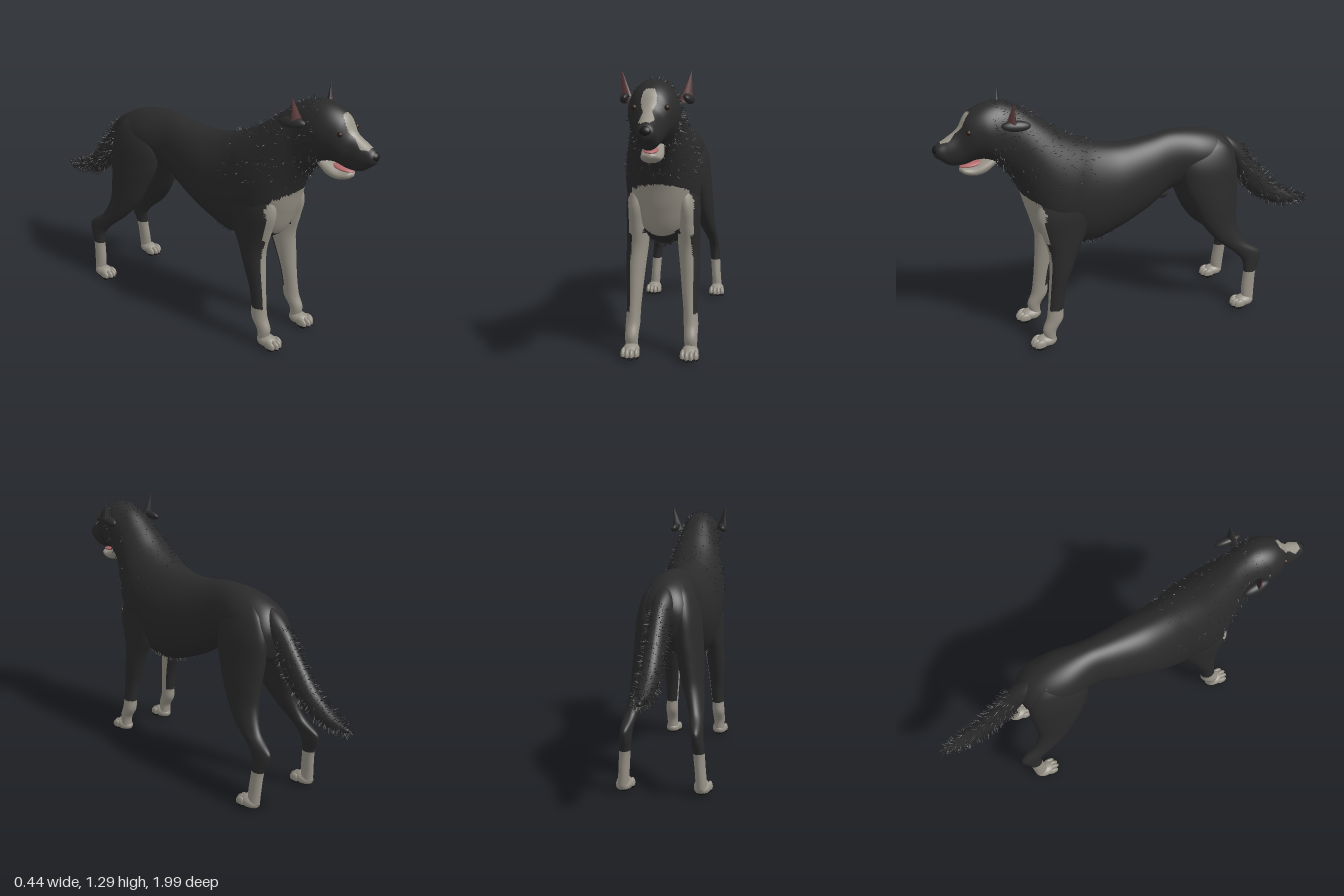
import * as THREE from 'three';

const mat = (name, color) => {
  const m = new THREE.MeshStandardMaterial({ color });
  m.name = name;
  return m;
};

export function createModel() {
  const dog = new THREE.Group();
  dog.name = 'dog';
  const black = mat('black coat', 0x2a2a2b);
  const white = mat('grey white coat', 0x979287);
  const pad = mat('pad black', 0x1b1a1a);
  const red = mat('inner ear', 0x5c3b3b);
  const pink = mat('tongue pink', 0xb26a6c);
  const brown = mat('eye brown', 0x2e1d14);
  const strand = mat('fur strands', 0x242425);
  strand.side = THREE.DoubleSide;

  const add = (name, geo, material, parent = dog) => {
    const mesh = new THREE.Mesh(geo, material);
    mesh.name = name;
    parent.add(mesh);
    return mesh;
  };

  // Smooth skin over cross-sections [upperZ, upperY, lowerZ, lowerY, halfWidth, centreX]
  function loft(sections, steps, sides, mirror = 1) {
    const a = new THREE.CatmullRomCurve3(sections.map(s => new THREE.Vector3((s[5] || 0) * mirror, s[1], s[0])));
    const b = new THREE.CatmullRomCurve3(sections.map(s => new THREE.Vector3(s[4], s[3], s[2])));
    const pos = [], idx = [];
    for (let i = 0; i <= steps; i++) {
      const p = a.getPoint(i / steps), q = b.getPoint(i / steps);
      const cy = (p.y + q.y) / 2, cz = (p.z + q.z) / 2;
      for (let j = 0; j < sides; j++) {
        const t = j / sides * Math.PI * 2, c = Math.cos(t);
        pos.push(p.x + q.x * Math.sin(t), cy + (p.y - cy) * c, cz + (p.z - cz) * c);
      }
    }
    for (let i = 0; i < steps; i++) for (let j = 0; j < sides; j++) {
      const k = (j + 1) % sides, r = i * sides, n = r + sides;
      idx.push(r + j, r + k, n + j, r + k, n + k, n + j);
    }
    // Close both ends with a fan
    for (const end of [0, steps]) {
      const s = sections[end ? sections.length - 1 : 0], c = pos.length / 3;
      pos.push((s[5] || 0) * mirror, (s[1] + s[3]) / 2, (s[0] + s[2]) / 2);
      for (let j = 0; j < sides; j++) {
        const u = end * sides + j, v = end * sides + (j + 1) % sides;
        if (end) idx.push(c, u, v); else idx.push(c, v, u);
      }
    }
    const geo = new THREE.BufferGeometry();
    geo.setAttribute('position', new THREE.Float32BufferAttribute(pos, 3));
    geo.setIndex(idx);
    geo.computeVertexNormals();
    return geo;
  }

  // Sort faces into two colour groups: those passing the rule come second
  function paint(geo, rule) {
    const P = geo.attributes.position, N = geo.attributes.normal, src = geo.index.array;
    const lists = [[], []], c = new THREE.Vector3(), n = new THREE.Vector3(), v = new THREE.Vector3();
    for (let f = 0; f < src.length; f += 3) {
      c.set(0, 0, 0); n.set(0, 0, 0);
      for (let k = 0; k < 3; k++) {
        c.addScaledVector(v.fromBufferAttribute(P, src[f + k]), 1 / 3);
        n.addScaledVector(v.fromBufferAttribute(N, src[f + k]), 1 / 3);
      }
      lists[rule(c, n) ? 1 : 0].push(src[f], src[f + 1], src[f + 2]);
    }
    geo.setIndex([...lists[0], ...lists[1]]);
    geo.clearGroups();
    geo.addGroup(0, lists[0].length, 0);
    geo.addGroup(lists[0].length, lists[1].length, 1);
    return geo;
  }

  const blob = (p, s, tilt = 0) => new THREE.SphereGeometry(1, 24, 16).scale(...s).rotateX(tilt).translate(...p);

  let seed = 7;
  const rand = () => (seed = (seed * 16807) % 2147483647) / 2147483647;

  // Short strands growing out of a surface, swept backwards
  function fur(name, geo, count, length, where = () => true) {
    const P = geo.attributes.position, N = geo.attributes.normal, pos = [];
    const p = new THREE.Vector3(), n = new THREE.Vector3(), w = new THREE.Vector3();
    for (let tries = 0; pos.length < count * 9 && tries < count * 40; tries++) {
      const i = Math.floor(rand() * P.count);
      p.fromBufferAttribute(P, i); n.fromBufferAttribute(N, i);
      if (!where(p)) continue;
      w.set(rand() - 0.5, rand() - 0.5, rand() - 0.5).setLength(0.002);
      n.add(new THREE.Vector3(rand() - 0.5, rand() - 0.7, -rand() * 0.9)).setLength(length * (0.5 + rand() * 0.5));
      pos.push(p.x - w.x, p.y - w.y, p.z - w.z, p.x + w.x, p.y + w.y, p.z + w.z, p.x + n.x, p.y + n.y, p.z + n.z);
    }
    const g = new THREE.BufferGeometry();
    g.setAttribute('position', new THREE.Float32BufferAttribute(pos, 3));
    g.computeVertexNormals();
    add(name, g, strand);
  }

  // Head, neck and torso in one skin, with a chest bib and a muzzle blaze
  const bib = c => c.y > 0.53 && c.y < 0.8 - 2 * c.x * c.x && Math.abs(c.x) < 0.147
    && c.z > 0.515 + Math.max(0, c.y - 0.7) * 0.5;
  const blaze = (c, n) => c.z > 0.825 && c.z < 0.96 && c.y > 1.04 && n.y > 0.2
    && Math.abs(c.x + 0.004) < 0.026 + 0.006 * Math.sin(c.z * 90);
  const body = loft([
    [0.993, 1.06, 0.99, 1.03, 0.012], [0.982, 1.082, 0.97, 1.015, 0.034],
    [0.94, 1.107, 0.925, 0.983, 0.046], [0.88, 1.147, 0.865, 0.978, 0.057],
    [0.838, 1.21, 0.80, 0.995, 0.086], [0.77, 1.247, 0.745, 0.985, 0.106],
    [0.69, 1.256, 0.71, 0.955, 0.108], [0.60, 1.222, 0.665, 0.90, 0.11],
    [0.50, 1.15, 0.615, 0.80, 0.135], [0.40, 1.075, 0.58, 0.68, 0.16],
    [0.32, 1.03, 0.525, 0.56, 0.17], [0.25, 1.0, 0.42, 0.50, 0.16],
    [0.16, 0.975, 0.28, 0.48, 0.15], [0.08, 0.968, 0.13, 0.525, 0.138],
    [-0.03, 0.975, -0.03, 0.60, 0.115], [-0.15, 0.992, -0.15, 0.68, 0.1],
    [-0.30, 0.985, -0.28, 0.70, 0.122], [-0.40, 0.96, -0.40, 0.67, 0.12],
    [-0.47, 0.92, -0.48, 0.68, 0.1], [-0.51, 0.86, -0.51, 0.75, 0.06], [-0.52, 0.81, -0.52, 0.79, 0.01],
  ], 220, 88);
  add('body', paint(body, (c, n) => bib(c) || blaze(c, n)), [black, white]);
  fur('neckFur', body, 900, 0.022, p => p.z > 0.25 && p.z < 0.74 && p.y > 0.83);
  fur('bellyFur', body, 250, 0.025, p => p.y < 0.53 && p.z < 0.45);
  add('sheath', blob([0, 0.665, -0.1], [0.022, 0.026, 0.06], -0.4), black);

  // Muzzle: nose, lower jaw, tongue
  add('nose', blob([0, 1.06, 0.972], [0.027, 0.024, 0.026]), pad);
  add('lowerJaw', loft([
    [0.885, 0.958, 0.885, 0.945, 0.008], [0.875, 0.965, 0.865, 0.93, 0.032],
    [0.83, 0.965, 0.82, 0.918, 0.044], [0.78, 0.985, 0.77, 0.926, 0.048], [0.72, 1.01, 0.72, 0.96, 0.04],
  ], 24, 32), white);
  add('tongue', blob([0, 0.972, 0.832], [0.031, 0.011, 0.052], 0.1), pink);

  // Tail with a bushy fringe
  const tail = loft([
    [-0.42, 0.945, -0.44, 0.84, 0.03, 0], [-0.5, 0.91, -0.505, 0.79, 0.047, 0.004],
    [-0.57, 0.855, -0.54, 0.71, 0.045, 0.01], [-0.65, 0.755, -0.605, 0.61, 0.044, 0.014],
    [-0.77, 0.617, -0.73, 0.515, 0.042, 0.018], [-0.88, 0.545, -0.86, 0.482, 0.034, 0.02],
    [-0.965, 0.508, -0.96, 0.49, 0.01, 0.02],
  ], 50, 28);
  add('tail', tail, black);
  fur('tailFur', tail, 1500, 0.034, p => p.z < -0.55);

  for (const [side, s] of [['left', 1], ['right', -1]]) {
    // Eye and ear: erect tip with a reddish front, folded flap behind
    add(side + 'Eye', blob([s * 0.066, 1.145, 0.842], [0.012, 0.012, 0.012]), brown);
    const ear = new THREE.Group();
    ear.name = side + 'Ear';
    dog.add(ear);
    const tip = new THREE.ConeGeometry(0.034, 0.13, 24, 6);
    const P = tip.attributes.position;
    for (let i = 0; i < P.count; i++) P.setX(i, P.getX(i) + s * (P.getY(i) + 0.065) * 0.22);
    tip.scale(1, 1, 0.55).rotateY(s * 0.5);
    tip.computeVertexNormals();
    paint(tip, (c, n) => n.z + n.x * s * 0.8 > 0.1);
    add(side + 'EarTip', tip.translate(s * 0.122, 1.222, 0.665), [black, red], ear);
    add(side + 'EarFlap', blob([0, 0, 0], [0.02, 0.026, 0.066], -0.1).rotateZ(s * 0.7)
      .translate(s * 0.135, 1.172, 0.645), black, ear);

    // Front leg: white on the front and inside, sock below
    const front = loft([
      [0.56, 0.03, 0.51, 0.03, 0.028, 0.135], [0.572, 0.09, 0.505, 0.085, 0.03, 0.135],
      [0.55, 0.15, 0.468, 0.145, 0.033, 0.133], [0.54, 0.21, 0.462, 0.2, 0.032, 0.13],
      [0.53, 0.3, 0.445, 0.3, 0.037, 0.126], [0.522, 0.4, 0.41, 0.4, 0.045, 0.124],
      [0.52, 0.5, 0.37, 0.5, 0.05, 0.118], [0.545, 0.6, 0.33, 0.58, 0.052, 0.115],
      [0.565, 0.7, 0.3, 0.7, 0.054, 0.112], [0.53, 0.8, 0.3, 0.82, 0.045, 0.1],
      [0.45, 0.88, 0.36, 0.88, 0.01, 0.085],
    ], 110, 40, s);
    add(side + 'FrontLeg', paint(front, (c, n) => c.y < 0.2
      || (c.y < 0.56 ? n.z * 0.75 - n.x * s * 0.65 > 0.3 : bib(c))), [black, white]);

    // Hind leg with a sock
    const hind = loft([
      [-0.52, 0.03, -0.585, 0.03, 0.027, 0.18], [-0.52, 0.1, -0.59, 0.1, 0.025, 0.175],
      [-0.53, 0.2, -0.6, 0.2, 0.026, 0.168], [-0.522, 0.265, -0.625, 0.26, 0.027, 0.162],
      [-0.48, 0.315, -0.63, 0.3, 0.027, 0.158], [-0.375, 0.405, -0.545, 0.37, 0.036, 0.142],
      [-0.3, 0.5, -0.5, 0.47, 0.05, 0.12], [-0.25, 0.6, -0.498, 0.57, 0.06, 0.105],
      [-0.205, 0.71, -0.505, 0.68, 0.066, 0.09], [-0.2, 0.82, -0.5, 0.8, 0.062, 0.08],
      [-0.26, 0.9, -0.46, 0.89, 0.04, 0.07], [-0.33, 0.94, -0.4, 0.94, 0.01, 0.06],
    ], 110, 40, s);
    add(side + 'HindLeg', paint(hind, c => c.y < 0.2), [black, white]);

    // Paws: four toes with claws, dark soles
    for (const [end, x, z] of [['Front', 0.134, 0.565], ['Hind', 0.18, -0.525]]) {
      const paw = new THREE.Group();
      paw.name = side + end + 'Paw';
      dog.add(paw);
      const sole = c => c.y < 0.017;
      add('pawBase', paint(blob([s * x, 0.032, z - 0.005], [0.038, 0.032, 0.055]), sole), [white, pad], paw);
      for (let i = 0; i < 4; i++) {
        const tx = s * x + (i - 1.5) * 0.02, tz = z + (i % 3 ? 0.042 : 0.03);
        add('toe', paint(blob([tx, 0.026, tz], [0.0125, 0.026, 0.03], 0.25), sole), [white, pad], paw);
        add('claw', new THREE.ConeGeometry(0.005, 0.022, 8).rotateX(2).translate(tx, 0.014, tz + 0.03), pad, paw);
      }
    }
  }
  return dog;
}
